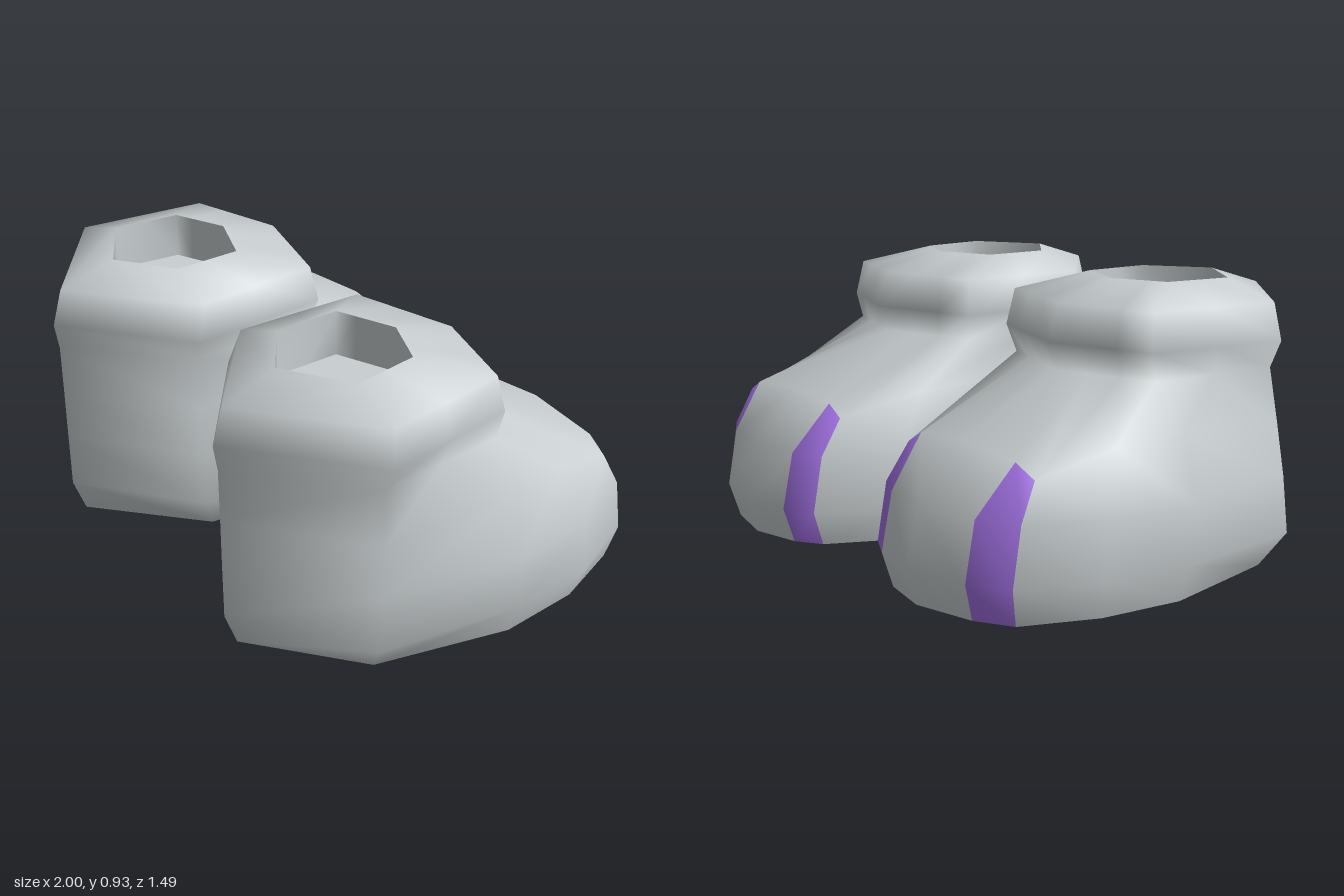
import * as THREE from 'three';

const wool = new THREE.MeshStandardMaterial({ color: 0xc9cfd1 });
wool.name = 'pale grey';
const claw = new THREE.MeshStandardMaterial({ color: 0xa070e2 });
claw.name = 'purple';

const N = 12; // columns, running heel > outer side > toe > inner side
const ring = (y, pts) => pts.map(([x, z, py]) => [x, py ?? y, z]);

// Six-cornered ring (heel, outer heel, outer front, toe, inner front, inner heel) spread over 12 columns
function hexRing(y, h) {
  const mix = (a, b, t) => [a[0] + (b[0] - a[0]) * t, a[1] + (b[1] - a[1]) * t];
  return ring(y, [
    h[0], h[1], mix(h[1], h[2], 0.5), h[2], mix(h[2], h[3], 1 / 3), mix(h[2], h[3], 2 / 3),
    h[3], mix(h[3], h[4], 1 / 3), mix(h[3], h[4], 2 / 3), h[4], mix(h[4], h[5], 0.5), h[5],
  ]);
}

const hole = [[0.47, 0.51], [0.69, 0.37], [0.66, 0.14], [0.48, 0.06], [0.28, 0.14], [0.28, 0.37]];
const rim = hexRing(0.93, hole);
const floor = hexRing(0.775, hole);

// Foot rings from the ground up
const sole = ring(0, [
  [0.48, 0.68], [0.83, 0.405], [0.95, -0.05], [0.93, -0.34], [0.84, -0.59], [0.72, -0.66],
  [0.5, -0.71], [0.31, -0.67], [0.22, -0.61], [0.12, -0.38], [0.08, -0.12], [0.13, 0.37]]);
const shellRings = [
  sole,
  ring(0.12, [
    [0.48, 0.725], [0.91, 0.45], [0.995, -0.05], [0.975, -0.36], [0.865, -0.62], [0.735, -0.695],
    [0.5, -0.745], [0.31, -0.71], [0.2, -0.655], [0.08, -0.4], [0.04, -0.13], [0.09, 0.42]]),
  ring(0.31, [
    [0.48, 0.727], [0.905, 0.43], [1, -0.04], [0.97, -0.34], [0.865, -0.59], [0.735, -0.66],
    [0.5, -0.7], [0.31, -0.67], [0.2, -0.62], [0.085, -0.38], [0.035, -0.13], [0.1, 0.42]]),
  ring(0.48, [
    [0.48, 0.728], [0.885, 0.415], [0.95, -0.05, 0.52], [0.91, -0.28, 0.5], [0.85, -0.53, 0.43], [0.77, -0.54, 0.47],
    [0.5, -0.55, 0.49], [0.28, -0.54, 0.47], [0.21, -0.54, 0.43], [0.12, -0.28, 0.5], [0.08, -0.08, 0.52], [0.115, 0.41]]),
  // Neck and padded collar
  hexRing(0.66, [[0.48, 0.73], [0.86, 0.4], [0.83, -0.06], [0.49, -0.17], [0.14, -0.06], [0.14, 0.4]]),
  hexRing(0.75, [[0.48, 0.745], [0.905, 0.4], [0.84, -0.08], [0.49, -0.2], [0.11, -0.08], [0.08, 0.42]]),
  hexRing(0.87, [[0.48, 0.71], [0.88, 0.39], [0.82, -0.06], [0.49, -0.16], [0.13, -0.06], [0.11, 0.39]]),
  rim,
];

// Builds a geometry from points and triangles; side -1 mirrors it across x = 0
function build(points, triangles, side) {
  const geo = new THREE.BufferGeometry();
  const pos = points.flatMap(([x, y, z]) => [x * side, y, z]);
  geo.setAttribute('position', new THREE.Float32BufferAttribute(pos, 3));
  geo.setIndex(triangles.flatMap(([a, b, c]) => (side > 0 ? [a, b, c] : [a, c, b])));
  geo.computeVertexNormals();
  return geo;
}

// Skin between stacked rings; quads chosen by isStripe go in the second material group
function loft(rings, side, isStripe = () => false) {
  const plain = [], striped = [];
  for (let r = 0; r < rings.length - 1; r++) {
    for (let c = 0; c < N; c++) {
      const a = r * N + c, b = r * N + (c + 1) % N;
      (isStripe(r, c) ? striped : plain).push([a, b, b + N], [a, b + N, a + N]);
    }
  }
  const geo = build(rings.flat(), [...plain, ...striped], side);
  geo.addGroup(0, plain.length * 3, 0);
  if (striped.length) geo.addGroup(plain.length * 3, striped.length * 3, 1);
  return geo;
}

// Flat fan closing a ring, facing up or down
function cap(points, up, side) {
  const centre = [0.48, points[0][1], points.reduce((s, p) => s + p[2], 0) / N];
  const tris = points.map((_, i) => (up ? [N, i, (i + 1) % N] : [N, (i + 1) % N, i]));
  return build([...points, centre], tris, side);
}

function makeBoot(side, name) {
  const boot = new THREE.Group();
  boot.name = name;
  const add = (part, geo, mat) => {
    const mesh = new THREE.Mesh(geo, mat);
    mesh.name = part;
    boot.add(mesh);
  };
  // Two purple bands run up either side of the toe
  const stripe = (r, c) => r < 3 && (c === 4 || c === 7);
  add('bootShellWithToeStripes', loft(shellRings, side, stripe), [wool, claw]);
  add('sole', cap(sole, false, side), wool);
  add('openingWall', loft([rim, floor], side), [wool]);
  add('openingFloor', cap(floor, true, side), wool);
  return boot;
}

export function createModel() {
  const model = new THREE.Group();
  model.name = 'bootPair';
  model.add(makeBoot(1, 'leftBoot'), makeBoot(-1, 'rightBoot'));
  return model;
}
